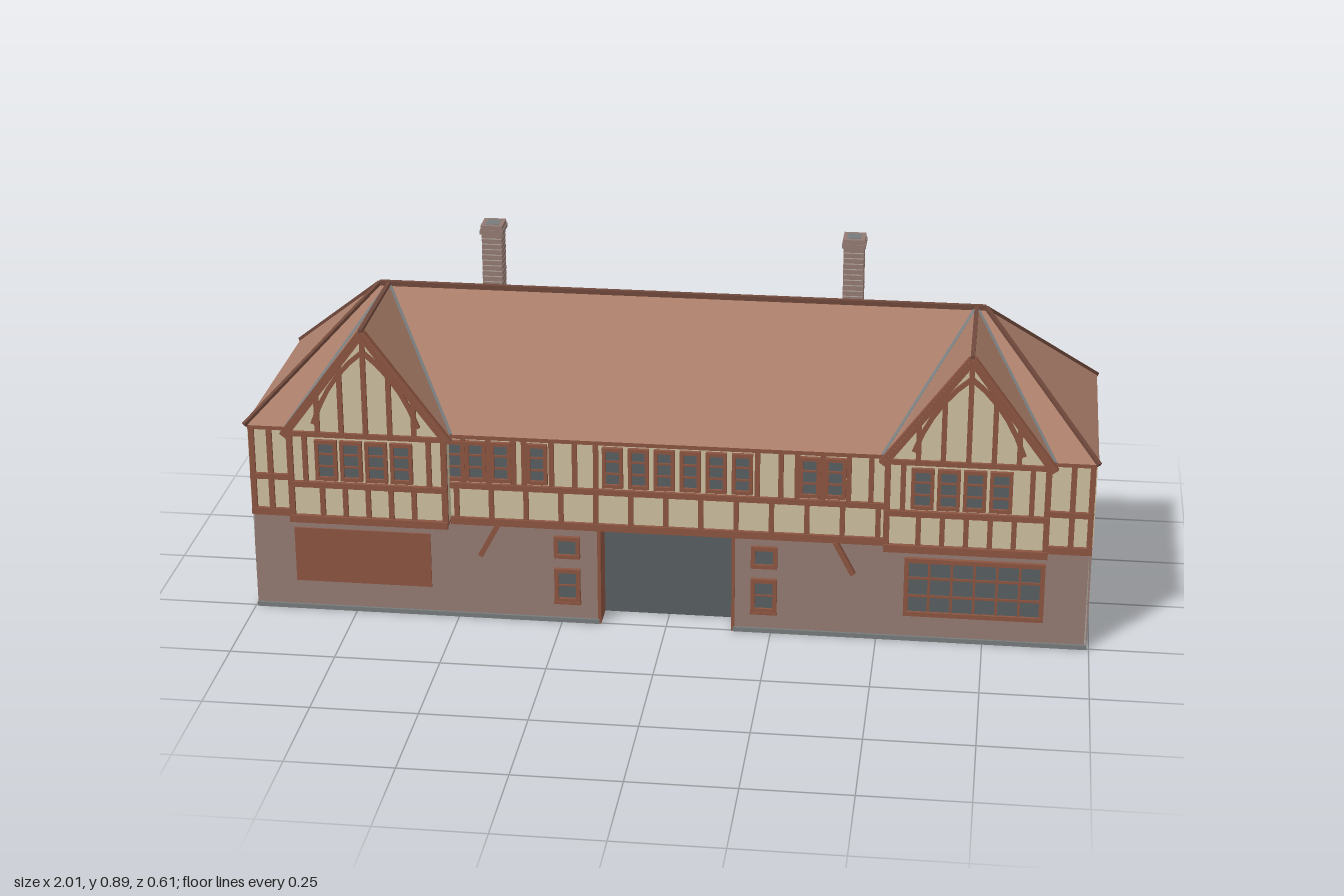
import * as THREE from 'three';

const mat = (name, hex, side = THREE.FrontSide) => {
  const m = new THREE.MeshStandardMaterial({ color: hex, side });
  m.name = name;
  return m;
};

export function createModel() {
  const model = new THREE.Group();
  model.name = 'timberFramedHouse';
  const roofMat = mat('roofTile', 0xaa7e6a, THREE.DoubleSide);
  const ridgeMat = mat('ridgeTile', 0x6f483b);
  const timber = mat('timber', 0x8c5441);
  const cream = mat('creamPlaster', 0xcdbfa0, THREE.DoubleSide);
  const brick = mat('brick', 0x937a73);
  const mortar = mat('mortar', 0xb5aca4);
  const grey = mat('greyRender', 0xaaa59f);
  const glass = mat('darkGlass', 0x585e60);
  const lead = mat('lead', 0x777b7c);

  const group = (name, parent = model) => {
    const g = new THREE.Group();
    g.name = name;
    parent.add(g);
    return g;
  };
  // Box given by its limits on each axis
  const box = (name, m, x0, x1, y0, y1, z0, z1, parent = model) => {
    const mesh = new THREE.Mesh(new THREE.BoxGeometry(x1 - x0, y1 - y0, z1 - z0), m);
    mesh.position.set((x0 + x1) / 2, (y0 + y1) / 2, (z0 + z1) / 2);
    mesh.name = name;
    parent.add(mesh);
    return mesh;
  };
  // Square beam between two points
  const beam = (name, m, a, b, w, h, parent = model) => {
    const p = new THREE.Vector3(...a), q = new THREE.Vector3(...b);
    const mesh = new THREE.Mesh(new THREE.BoxGeometry(w, h, p.distanceTo(q)), m);
    mesh.position.copy(p).lerp(q, 0.5);
    mesh.lookAt(q);
    mesh.name = name;
    parent.add(mesh);
  };
  // Flat timber on a front-facing wall, d deep
  const strip = (name, x0, y0, x1, y1, w, z, d, parent) => {
    const len = Math.hypot(x1 - x0, y1 - y0);
    const mesh = new THREE.Mesh(new THREE.BoxGeometry(len, w, d), timber);
    mesh.position.set((x0 + x1) / 2, (y0 + y1) / 2, z + d / 2);
    mesh.rotation.z = Math.atan2(y1 - y0, x1 - x0);
    mesh.name = name;
    parent.add(mesh);
  };
  // Flat faces from polygons, corners counter-clockwise
  const faces = (name, m, polys, parent = model) => {
    const pts = [];
    for (const p of polys)
      for (let i = 1; i < p.length - 1; i++) pts.push(...p[0], ...p[i], ...p[i + 1]);
    const g = new THREE.BufferGeometry();
    g.setAttribute('position', new THREE.Float32BufferAttribute(pts, 3));
    g.computeVertexNormals();
    const mesh = new THREE.Mesh(g, m);
    mesh.name = name;
    parent.add(mesh);
  };
  // Framed window: glass through the wall, frame and glazing bars in front
  const windowAt = (name, x0, x1, y0, y1, cols, rows, z, f, bar, parent = model) => {
    const g = group(name, parent);
    box('glass', glass, x0, x1, y0, y1, z - 0.011, z + 0.003, g);
    for (const x of [x0, x1]) box('frameSide', timber, x - f / 2, x + f / 2, y0, y1, z, z + 0.009, g);
    for (const y of [y0, y1]) box('frameRail', timber, x0 - f / 2, x1 + f / 2, y - f / 2, y + f / 2, z, z + 0.01, g);
    for (let i = 1; i < cols; i++) {
      const x = x0 + (x1 - x0) * i / cols;
      box('bar', timber, x - bar / 2, x + bar / 2, y0, y1, z, z + 0.006, g);
    }
    for (let j = 1; j < rows; j++) {
      const y = y0 + (y1 - y0) * j / rows;
      box('bar', timber, x0, x1, y - bar / 2, y + bar / 2, z, z + 0.006, g);
    }
  };

  const eave = 0.478, floorY = 0.26, front = 0.25, bayZ = 0.285, bayX = 0.703, bayHalf = 0.19;

  // Plain walls, hollow and open underneath
  const walls = group('walls');
  box('backWall', grey, -0.995, 0.995, 0.01, eave, -0.298, -0.292, walls);
  for (const s of [-1, 1]) {
    const x0 = s > 0 ? 0.989 : -0.995;
    box('sideWall', grey, x0, x0 + 0.006, 0.01, eave, -0.298, front, walls);
    box('sidePlaster', cream, s * 0.995 - 0.002, s * 0.995 + 0.002, 0.265, eave, 0.228, front + 0.001, walls);
    // Brick ground floor with grey lining and base course
    const a = s > 0 ? 0.16 : -0.995, b = s > 0 ? 0.995 : -0.16;
    box('brickWall', brick, a, b, 0, floorY, front - 0.004, front, walls);
    box('innerLining', grey, a, b, 0.01, floorY, front - 0.008, front - 0.004, walls);
    box('baseCourse', lead, a, b, 0, 0.011, 0.225, front + 0.006, walls);
    box('doorReveal', timber, s * 0.16 - 0.004, s * 0.16 + 0.004, 0, 0.25, 0.178, front + 0.002, walls);
    const e0 = s > 0 ? bayX + bayHalf : -0.995, e1 = s > 0 ? 0.995 : -bayX - bayHalf;
    box('endPlaster', cream, e0, e1, floorY, eave, front - 0.006, front, walls);
  }
  box('middlePlaster', cream, -0.513, 0.513, floorY - 0.01, eave, front - 0.006, front, walls);
  box('doorHead', timber, -0.16, 0.16, 0.243, 0.25, 0.178, front, walls);
  box('garageDoor', glass, -0.16, 0.16, 0, 0.245, 0.176, 0.182, walls);

  // Hipped main roof
  const A = [-1, eave, 0.265], B = [1, eave, 0.265], C = [1, eave, -0.3], D = [-1, eave, -0.3];
  const R1 = [-0.725, 0.744, -0.02], R2 = [0.725, 0.744, -0.02];
  const roof = group('roof');
  faces('mainRoof', roofMat, [[A, B, R2, R1], [B, C, R2], [C, D, R1, R2], [D, A, R1]], roof);
  beam('ridge', ridgeMat, R1, R2, 0.012, 0.012, roof);
  for (const [p, q] of [[A, R1], [D, R1], [B, R2], [C, R2]]) beam('hip', ridgeMat, p, q, 0.01, 0.01, roof);
  box('eaveBoard', timber, -0.51, 0.51, 0.466, 0.478, front, 0.26, roof);

  // Two projecting gabled bays
  for (const s of [-1, 1]) {
    const c = s * bayX, h = 0.197, foot = 0.472, top = 0.741, zf = 0.3;
    const bay = group(s > 0 ? 'leftBay' : 'rightBay');
    const l = c - bayHalf, r = c + bayHalf;
    faces('bayPlaster', cream, [
      [[l, floorY, bayZ], [r, floorY, bayZ], [r, eave, bayZ], [c, top - 0.005, bayZ], [l, eave, bayZ]],
      [[r, floorY, bayZ], [r, floorY, 0.244], [r, eave, 0.244], [r, eave, bayZ]],
      [[l, floorY, 0.244], [l, floorY, bayZ], [l, eave, bayZ], [l, eave, 0.244]],
    ], bay);
    box('baySoffit', timber, l, r, floorY - 0.008, floorY, front, bayZ, bay);
    const apex = [c, top, zf], back = [c, 0.744, -0.02];
    faces('bayRoof', roofMat, [
      [apex, [c + h, foot, zf], [c + h, eave, 0.262], back],
      [back, [c - h, eave, 0.262], [c - h, foot, zf], apex],
    ], bay);
    beam('bayRidge', ridgeMat, [c, top, zf], back, 0.01, 0.008, bay);
    for (const k of [-1, 1]) {
      beam('valley', lead, [c + k * h, eave, 0.265], back, 0.008, 0.006, bay);
      strip('bargeBoard', c + k * h, foot - 0.004, c, top - 0.008, 0.02, bayZ, 0.014, bay);
      // Curved brace under the apex
      const curve = new THREE.QuadraticBezierCurve(new THREE.Vector2(0.125, 0.5),
        new THREE.Vector2(0.085, 0.62), new THREE.Vector2(0, 0.685)).getPoints(5);
      for (let i = 0; i < 5; i++)
        strip('curvedBrace', c + k * curve[i].x, curve[i].y, c + k * curve[i + 1].x, curve[i + 1].y, 0.011, bayZ, 0.007, bay);
      strip('cornerPost', c + k * 0.184, floorY, c + k * 0.184, 0.475, 0.014, bayZ, 0.008, bay);
      strip('post', c + k * 0.148, 0.345, c + k * 0.148, 0.475, 0.012, bayZ, 0.007, bay);
    }
    for (const dx of [-0.115, -0.058, 0, 0.058, 0.115])
      strip('gableStud', c + dx, 0.475, c + dx, 0.725 - 1.37 * Math.abs(dx), 0.012, bayZ, 0.007, bay);
    for (let i = 0; i < 5; i++) {
      const x = c - 0.11 + i * 0.055;
      strip('lowerStud', x, floorY, x, 0.345, 0.012, bayZ, 0.007, bay);
    }
    for (const [y, w, d] of [[0.256, 0.018, 0.012], [0.345, 0.014, 0.01], [0.473, 0.012, 0.008]])
      strip('rail', l, y, r, y, w, bayZ, d, bay);
    const wc = s > 0 ? 0.69 : -0.71;
    for (let i = 0; i < 4; i++) {
      const x = wc - 0.09 + i * 0.06;
      windowAt('bayWindow', x - 0.022, x + 0.022, 0.362, 0.455, 1, 3, bayZ, 0.009, 0.005, bay);
    }
  }

  // Timber frame on the flat stretches of the upper floor
  const frame = group('timberFrame');
  for (const [x0, x1] of [[-0.995, -0.893], [-0.513, 0.513], [0.893, 0.995]])
    for (const [y, w] of [[0.254, 0.018], [0.345, 0.014], [0.472, 0.012]])
      strip('rail', x0, y, x1, y, w, front, 0.009, frame);
  for (const s of [-1, 1])
    for (const x of [0.988, 0.945]) strip('endPost', s * x, floorY, s * x, eave, 0.013, front, 0.007, frame);
  for (let i = 0; i < 13; i++) {
    const x = -0.498 + i * 0.083;
    strip('lowerStud', x, floorY, x, 0.345, 0.012, front, 0.007, frame);
  }
  for (const x of [-0.48, -0.42, -0.36, -0.335, -0.27, -0.215, -0.165, 0.215, 0.27, 0.308, 0.367, 0.428, 0.48])
    strip('upperStud', x, 0.345, x, 0.475, 0.012, front, 0.007, frame);

  // Upper windows
  for (const x of [-0.5, -0.45, -0.39, -0.304, -0.125, -0.064, -0.003, 0.058, 0.119, 0.18, 0.337, 0.397])
    windowAt('upperWindow', x - 0.02, x + 0.02, 0.362, 0.455, 1, 3, front, 0.009, 0.005);

  // Ground floor windows, painted panel and braces
  for (const x of [-0.236, 0.233]) {
    windowAt('smallWindow', x - 0.026, x + 0.026, 0.174, 0.22, 1, 1, front, 0.01, 0.004);
    windowAt('smallWindow', x - 0.026, x + 0.026, 0.06, 0.136, 1, 2, front, 0.01, 0.004);
    box('windowSill', timber, x - 0.032, x + 0.032, 0.05, 0.056, front, 0.262);
  }
  windowAt('shopWindow', 0.568, 0.885, 0.072, 0.21, 6, 3, front, 0.011, 0.006);
  box('panelGlass', glass, -0.89, -0.57, 0.078, 0.21, front - 0.011, front - 0.002);
  box('panel', timber, -0.895, -0.565, 0.074, 0.213, front, front + 0.004);
  for (const s of [-1, 1]) strip('jettyBrace', s * 0.4, 0.248, s * 0.443, 0.167, 0.012, front, 0.014, model);

  // Chimneys: mortar core with brick courses, wider cap
  for (const x of [-0.453, 0.41]) {
    const g = group('chimney');
    const z = -0.064;
    box('core', mortar, x - 0.022, x + 0.022, 0.64, 0.885, z - 0.025, z + 0.025, g);
    for (let y = 0.645; y < 0.865; y += 0.0135)
      box('course', brick, x - 0.024, x + 0.024, y, y + 0.0108, z - 0.027, z + 0.027, g);
    box('cap', brick, x - 0.028, x + 0.028, 0.872, 0.882, z - 0.032, z + 0.032, g);
    box('capTop', brick, x - 0.026, x + 0.026, 0.882, 0.893, z - 0.03, z + 0.03, g);
    box('flue', lead, x - 0.016, x + 0.016, 0.89, 0.894, z - 0.019, z + 0.019, g);
  }
  return model;
}
